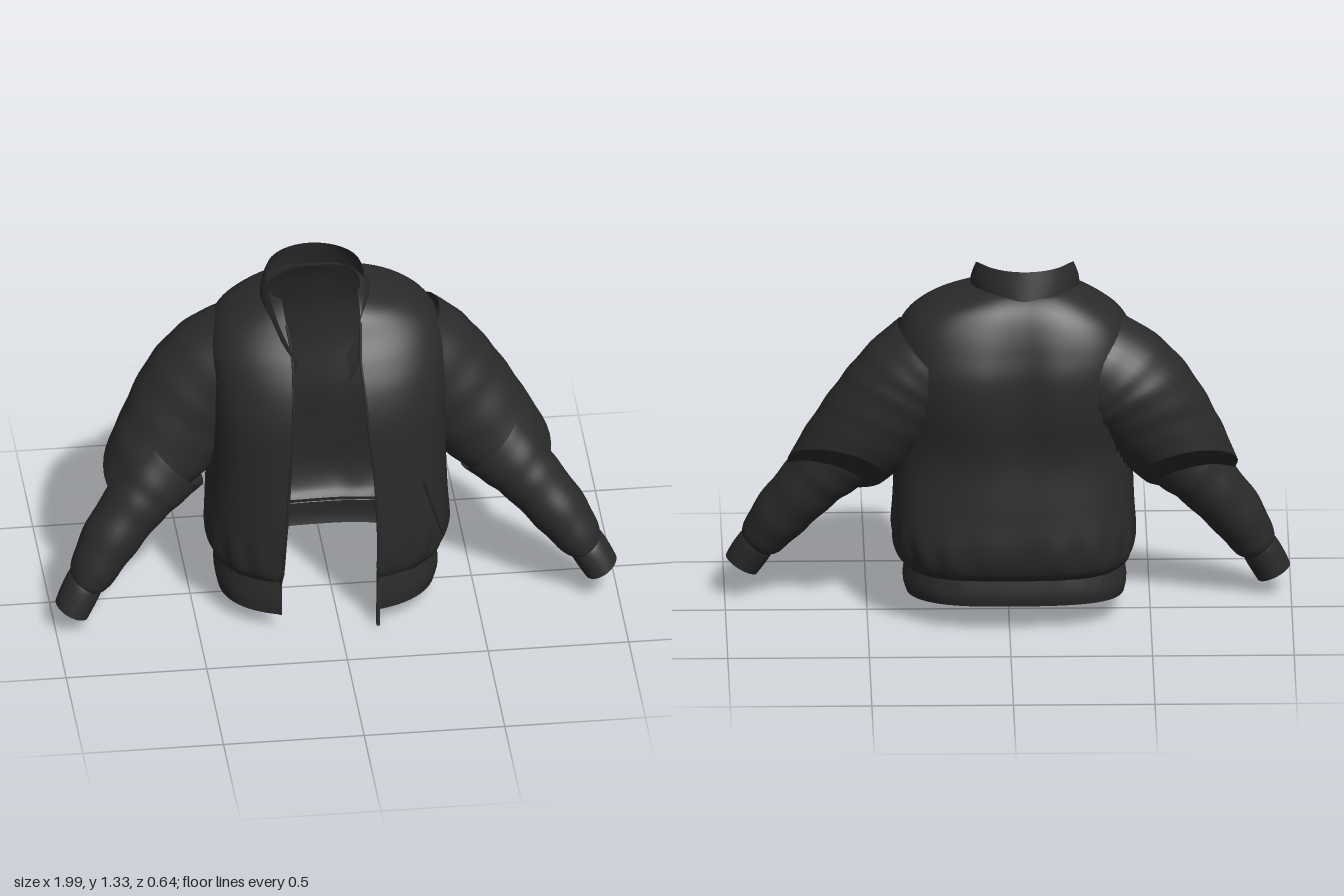
import * as THREE from 'three';

const cloth = new THREE.MeshStandardMaterial({ color: 0x2b2b2b, side: THREE.DoubleSide });
cloth.name = 'black cloth';

function mesh(name, geometry) {
  const m = new THREE.Mesh(geometry, cloth);
  m.name = name;
  return m;
}

// Skin a grid of points, optionally wrapped round, leaving out faces that are cut away
function loft(rows, closed, cut = () => false) {
  const n = rows[0].length, index = [], points = rows.flat();
  const face = (...ids) => {
    const mid = new THREE.Vector3();
    ids.forEach(i => mid.addScaledVector(points[i], 1 / 3));
    if (!cut(mid)) index.push(...ids);
  };
  for (let j = 0; j < rows.length - 1; j++) {
    for (let i = 0; i < (closed ? n : n - 1); i++) {
      const a = j * n + i, b = j * n + (i + 1) % n;
      face(a, b, b + n);
      face(a, b + n, a + n);
    }
  }
  const g = new THREE.BufferGeometry().setFromPoints(points);
  g.setIndex(index);
  g.computeVertexNormals();
  return g;
}

// Smooth interpolation through a list of section parameters
function smooth(keys, t) {
  const s = Math.min(Math.max(t, 0), 1) * (keys.length - 1);
  const i = Math.min(Math.floor(s), keys.length - 2), f = s - i;
  const at = k => keys[Math.min(Math.max(k, 0), keys.length - 1)];
  return keys[i].map((p1, c) => {
    const p0 = at(i - 1)[c], p2 = at(i + 1)[c], p3 = at(i + 2)[c];
    return p1 + 0.5 * f * (p2 - p0 + f * (2 * p0 - 5 * p1 + 4 * p2 - p3 + f * (3 * (p1 - p2) + p3 - p0)));
  });
}

// Body sections: y, centre x, half width, front z, back z, right edge x, left edge x
const BODY = [
  [0.19, -0.02, 0.385, 0.285, -0.25, -0.21, 0.135],
  [0.23, -0.02, 0.415, 0.30, -0.285, -0.205, 0.135],
  [0.32, -0.015, 0.43, 0.31, -0.305, -0.2, 0.135],
  [0.46, -0.015, 0.425, 0.315, -0.295, -0.19, 0.13],
  [0.64, -0.015, 0.42, 0.315, -0.285, -0.18, 0.12],
  [0.82, -0.015, 0.425, 0.315, -0.318, -0.17, 0.10],
  [0.95, -0.015, 0.425, 0.285, -0.322, -0.165, 0.09],
  [1.05, -0.02, 0.415, 0.235, -0.298, -0.16, 0.08],
  [1.13, -0.02, 0.375, 0.18, -0.268, -0.165, 0.085],
  [1.19, -0.025, 0.295, 0.14, -0.235, -0.175, 0.09],
  [1.23, -0.05, 0.195, 0.10, -0.195, -0.18, 0.09],
  [1.24, -0.057, 0.165, 0.08, -0.165, -0.18, 0.09],
];
const HEM = [
  [0.08, -0.025, 0.385, 0.29, -0.25, -0.21, 0.135],
  [0.13, -0.022, 0.395, 0.292, -0.258, -0.21, 0.135],
  [0.205, -0.02, 0.38, 0.285, -0.25, -0.205, 0.135],
];

// Roundness of the body outline: softer in front, squarer behind
const FRONT = 0.8, BACK = 0.72;

// Point on the open body shell; u runs from the left edge round the back to the right edge
function bodyPoint(keys, u, v, grow = 0) {
  const [y, cx, w, zf, zb, xr, xl] = smooth(keys, v);
  const edge = x => Math.asin(Math.min(1, Math.abs(x - cx) / w) ** (1 / FRONT));
  const a0 = edge(xl), a1 = 2 * Math.PI - edge(xr), a = a0 + (a1 - a0) * u;
  const e = Math.cos(a) > 0 ? FRONT : BACK;
  const pow = q => Math.sign(q) * Math.abs(q) ** e;
  const gather = 0.014 * Math.sin(a * 19) * Math.exp(-(((y - 0.28) / 0.07) ** 2));
  const fold = 0.007 * Math.sin(5 * a + 7 * y) * Math.sin(Math.PI * u);
  const k = 1 + gather + fold + grow;
  const x = cx + w * k * pow(Math.sin(a));
  let z = (zf + zb) / 2 + (zf - zb) / 2 * k * pow(Math.cos(a));
  // Hollow down the middle of the back
  if (z < 0) z += 0.028 * Math.exp(-(((x + 0.03) / 0.09) ** 2) - ((y - 0.9) / 0.25) ** 2);
  return new THREE.Vector3(x, keys === HEM ? y - 0.07 * z * (1 - v) : y, z);
}

function insideBody(p) {
  const i = BODY.findIndex(k => k[0] > p.y);
  if (i < 1) return false;
  const f = (p.y - BODY[i - 1][0]) / (BODY[i][0] - BODY[i - 1][0]);
  const [, cx, w, zf, zb] = smooth(BODY, (i - 1 + f) / (BODY.length - 1));
  const q = (2 * p.z - zf - zb) / (zf - zb), e = 2 / (q > 0 ? FRONT : BACK);
  return Math.abs((p.x - cx) / w) ** e + Math.abs(q) ** e < 0.82;
}

function shell(keys, nu, nv, cut) {
  return loft(Array.from({ length: nv + 1 }, (_, j) =>
    Array.from({ length: nu + 1 }, (_, i) => bodyPoint(keys, i / nu, j / nv))), false, cut);
}

const cord = (points, radius) => new THREE.TubeGeometry(new THREE.CatmullRomCurve3(points), 40, radius, 6);

// Sleeve sections: x, y, z, radius across, radius in z
const LEFT_UPPER = [
  [0.26, 0.97, -0.07, 0.19, 0.2],
  [0.34, 0.89, -0.075, 0.2, 0.2],
  [0.425, 0.785, -0.07, 0.198, 0.2],
  [0.53, 0.65, -0.055, 0.18, 0.195],
  [0.61, 0.55, -0.055, 0.155, 0.172],
];
const RIGHT_UPPER = [
  [0.28, 0.96, -0.07, 0.2, 0.2],
  [0.38, 0.885, -0.08, 0.217, 0.2],
  [0.47, 0.79, -0.08, 0.21, 0.2],
  [0.56, 0.66, -0.06, 0.188, 0.195],
  [0.64, 0.545, -0.06, 0.155, 0.17],
];
const LOWER = [
  [0.56, 0.60, 0.035, 0.145, 0.12],
  [0.63, 0.53, 0.055, 0.13, 0.122],
  [0.70, 0.45, 0.075, 0.112, 0.12],
  [0.80, 0.325, 0.11, 0.1, 0.112],
  [0.868, 0.225, 0.137, 0.08, 0.092],
  [0.887, 0.195, 0.143, 0.06, 0.075],
];
const CUFF = [
  [0.878, 0.22, 0.138, 0.06, 0.07],
  [0.893, 0.195, 0.145, 0.067, 0.078],
  [0.92, 0.15, 0.157, 0.067, 0.076],
  [0.94, 0.115, 0.165, 0.064, 0.074],
];

// Sleeve section with the direction of its axis
function section(keys, v) {
  const [x, y, z, r1, r2] = smooth(keys, v);
  const p = smooth(keys, v - 0.02), q = smooth(keys, v + 0.02);
  const len = Math.hypot(q[0] - p[0], q[1] - p[1]);
  return { x, y, z, r1, r2, dx: (q[0] - p[0]) / len, dy: (q[1] - p[1]) / len };
}

function insideSleeve(keys, p, side) {
  for (let j = 0; j <= 24; j++) {
    const s = section(keys, j / 24), ox = p.x * side - s.x, oy = p.y - s.y;
    const across = (oy * s.dx - ox * s.dy) / s.r1, deep = (p.z - s.z) / s.r2;
    if (Math.abs(ox * s.dx + oy * s.dy) < 0.025 && across ** 2 + deep ** 2 < 0.8) return true;
  }
  return false;
}

function sleevePart(name, keys, nv, wrinkle, slant, cut) {
  const rows = [], n = 36;
  for (let j = 0; j <= nv; j++) {
    const v = j / nv, { x, y, z, r1, r2, dx, dy } = section(keys, v);
    rows.push(Array.from({ length: n }, (_, i) => {
      const t = i / n * 2 * Math.PI;
      const k = 1 + wrinkle * Math.sin(v * 34 + 2 * Math.sin(t)) * Math.sin(Math.PI * v);
      const c = Math.cos(t) * r1 * k, s = Math.sin(t) * r2 * k, along = slant * v * (s + 0.4 * c);
      return new THREE.Vector3(x - dy * c + dx * along, y + dx * c + dy * along, z + s);
    }));
  }
  // Flat closing face at the lower end
  const end = rows[nv], mid = new THREE.Vector3();
  end.forEach(p => mid.addScaledVector(p, 1 / n));
  const group = new THREE.Group();
  group.name = name;
  group.add(mesh(name + 'Tube', loft(rows, true, cut)));
  group.add(mesh(name + 'End', loft([end, end.map(() => mid)], true, cut)));
  return group;
}

function sleeve(name, upper, side, droop) {
  const hang = keys => keys.map(([x, y, ...rest]) => [x, y - droop * Math.max(0, 0.35 - y), ...rest]);
  const inBody = p => insideBody(new THREE.Vector3(p.x * side, p.y, p.z));
  const g = new THREE.Group();
  g.name = name;
  g.add(sleevePart('upperSleeve', upper, 32, 0.009, 0.75, inBody));
  g.add(sleevePart('lowerSleeve', hang(LOWER), 32, 0.018, 0, inBody));
  g.add(sleevePart('cuff', hang(CUFF), 8, 0, 0));
  g.scale.x = side;
  return g;
}

// Stand collar, high at the back and falling towards the open front
function collar() {
  const n = 48;
  return loft([0, 0.2, 0.4, 0.6, 0.8, 1].map(v => Array.from({ length: n + 1 }, (_, i) => {
    const a = 0.52 + (2 * Math.PI - 1.04) * i / n;
    const w = 0.188 - 0.015 * v + 0.012 * Math.sin(Math.PI * v);
    const z = Math.cos(a) * (Math.cos(a) > 0 ? 0.25 : 0.203 - 0.03 * v);
    const top = 1.325 - 2.4 * Math.max(0, z + 0.1) ** 2;
    return new THREE.Vector3(-0.057 + w * Math.sin(a), top - 0.12 * (1 - v), z);
  })), false);
}

export function createModel() {
  const jacket = new THREE.Group();
  jacket.name = 'jacket';
  const armholes = p => insideSleeve(LEFT_UPPER, p, 1) || insideSleeve(RIGHT_UPPER, p, -1);
  jacket.add(mesh('body', shell(BODY, 140, 70, armholes)));
  jacket.add(mesh('hemBand', shell(HEM, 120, 8)), mesh('collar', collar()));
  jacket.add(sleeve('leftSleeve', LEFT_UPPER, 1, 0), sleeve('rightSleeve', RIGHT_UPPER, -1, 0.17));

  // Zip edges and slanted pocket welts on both fronts
  for (const [side, at] of [['left', u => u], ['right', u => 1 - u]]) {
    const edge = Array.from({ length: 12 }, (_, i) => bodyPoint(BODY, at(0), i / 11 * 0.8));
    edge.unshift(bodyPoint(HEM, at(0), 0));
    const welt = Array.from({ length: 6 }, (_, i) => bodyPoint(BODY, at(0.145 - 0.011 * i), 0.155 + 0.035 * i, 0.004));
    jacket.add(mesh(side + 'ZipEdge', cord(edge, 0.005)), mesh(side + 'PocketWelt', cord(welt, 0.007)));
  }

  // Loose zip end hanging below the left front
  const tail = mesh('zipTail', new THREE.BoxGeometry(0.012, 0.085, 0.016));
  tail.position.set(0.135, 0.0425, 0.28);
  jacket.add(tail);
  return jacket;
}
